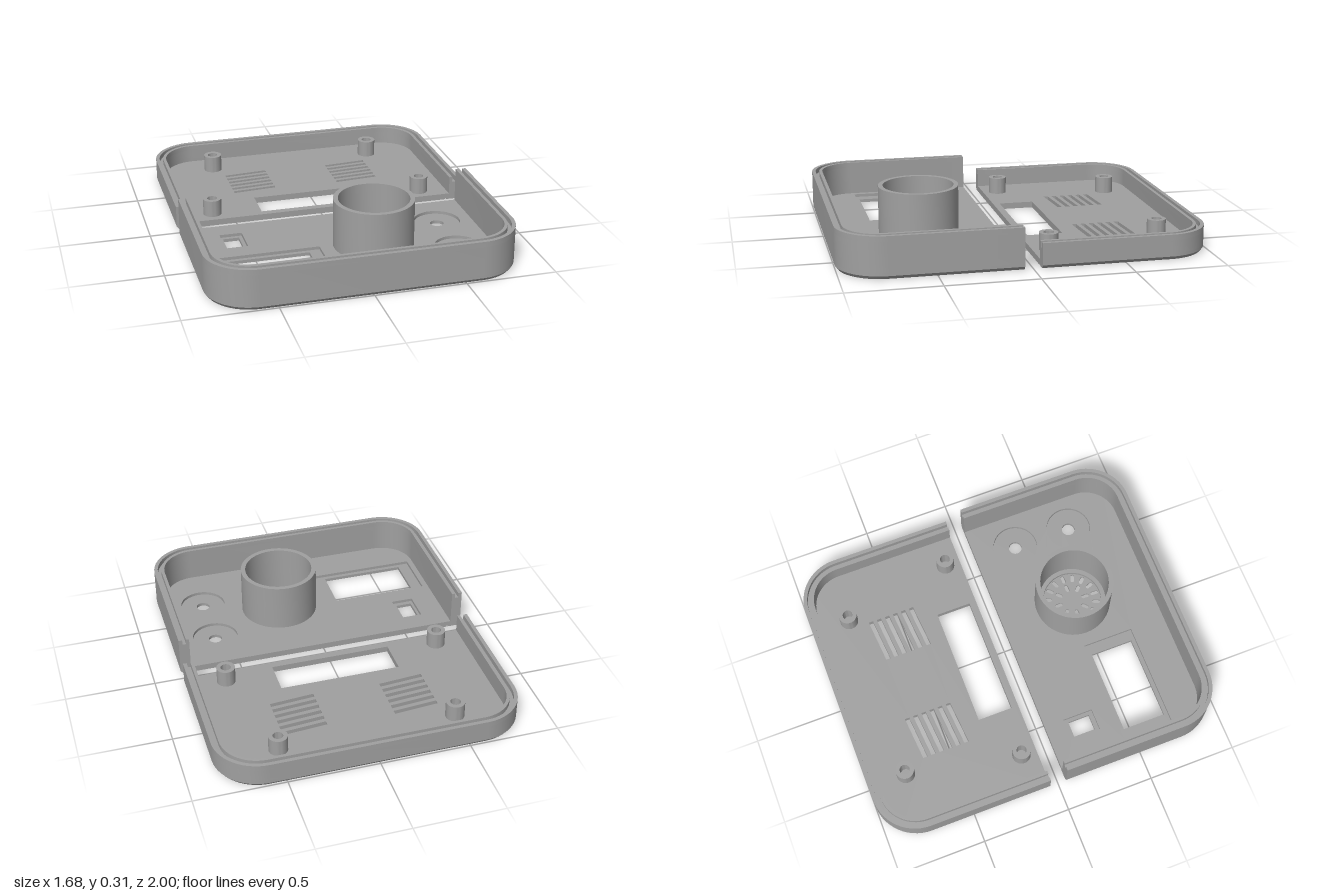
import * as THREE from 'three';
import { toCreasedNormals } from 'three/addons/utils/BufferGeometryUtils.js';

const W = 0.842, R = 0.25, CUT = 0.047;   // half width, corner radius, edge at the gap
const FLOOR = 0.035, SKIN = 0.006, MID = 0.018;

// Points are [x, d], d being the distance from the centre line between the halves.
function rim(inset) {
  const pts = [[-W + inset, CUT]], r = R - inset, n = 14;
  for (const side of [-1, 1]) {
    for (let i = 0; i <= n; i++) {
      const a = (i / n) * Math.PI / 2, t = side < 0 ? a : Math.PI / 2 - a;
      pts.push([side * (W - R + r * Math.cos(t)), 1 - R + r * Math.sin(t)]);
    }
  }
  pts.push([W - inset, CUT]);
  return pts;
}
const band = (a, b) => rim(a).concat(rim(b).reverse());
const rect = (x0, x1, d0, d1) => [[x0, d0], [x1, d0], [x1, d1], [x0, d1]];

function circle(x, d, r, n = 40) {
  return Array.from({ length: n }, (_, i) => {
    const a = (i / n) * Math.PI * 2;
    return [x + r * Math.cos(a), d + r * Math.sin(a)];
  });
}

// Round-ended slot along a spoke
function spoke(cx, cd, angle, r0, r1, half) {
  const pts = [], c = Math.cos(angle), s = Math.sin(angle);
  for (const [r, start] of [[r1 - half, -Math.PI / 2], [r0 + half, Math.PI / 2]]) {
    for (let i = 0; i <= 6; i++) {
      const a = start + (i / 6) * Math.PI;
      const u = r + half * Math.cos(a), v = half * Math.sin(a);
      pts.push([cx + u * c - v * s, cd + u * s + v * c]);
    }
  }
  return pts;
}

// L-shaped corner mark
function bracket(x, d, sx, sd, len = 0.06, t = 0.01) {
  return [[0, 0], [len, 0], [len, t], [t, t], [t, len], [0, len]]
    .map(([a, b]) => [x + sx * a, d + sd * b]);
}

// Flat layer from y0 to y1; its outer rim tapers near the ground
function layer(side, outline, holes, y0, y1) {
  const flat = pts => pts.map(([x, d]) => new THREE.Vector2(x, -side * d));
  const shape = new THREE.Shape(flat(outline));
  shape.holes = holes.map(h => new THREE.Path(flat(h)));
  const geo = new THREE.ExtrudeGeometry(shape, { depth: y1 - y0, bevelEnabled: false });
  geo.rotateX(-Math.PI / 2);
  geo.translate(0, y0, 0);
  const p = geo.attributes.position;
  for (let i = 0; i < p.count; i++) {
    const x = p.getX(i), y = p.getY(i), z = p.getZ(i);
    const qx = Math.abs(x) - (W - R), qd = side * z - (1 - R);
    const mx = Math.max(qx, 0), md = Math.max(qd, 0), len = Math.hypot(mx, md);
    const push = Math.max(0, MID - y) * 0.75;
    if (push > 0 && len > R - 0.001) {
      p.setX(i, x - Math.sign(x) * push * mx / len);
      p.setZ(i, z - side * push * md / len);
    }
  }
  return toCreasedNormals(geo, 0.5);
}

// Upright tube from a closed turned profile
function tube(r0, r1, y0, y1) {
  const profile = [[r0, y0], [r1, y0], [r1, y1], [r0, y1], [r0, y0]];
  const geo = new THREE.LatheGeometry(profile.map(([r, y]) => new THREE.Vector2(r, y)), 48);
  return toCreasedNormals(geo, 0.5);
}

export function createModel() {
  const model = new THREE.Group();
  const grey = new THREE.MeshStandardMaterial({ color: 0xa0a0a0 });
  grey.name = 'grey plastic';

  const add = (parent, name, geo, x = 0, z = 0) => {
    const mesh = new THREE.Mesh(geo, grey);
    mesh.name = name;
    mesh.position.set(x, 0, z);
    parent.add(mesh);
  };

  // Half of the case: engraved skin, floor, recessed floor, grooved wall
  function shell(name, side, height, skinHoles, midHoles, topHoles) {
    const half = new THREE.Group();
    half.name = name;
    model.add(half);
    const put = (part, outline, holes, y0, y1) =>
      add(half, part, layer(side, outline, holes, y0, y1));
    put('undersideBorder', band(0, 0.075), [], 0, SKIN);
    put('undersidePanel', rim(0.083), skinHoles, 0, SKIN);
    put('lowerFloor', rim(0), midHoles, SKIN, MID);
    put('upperFloor', rim(0), topHoles, MID, FLOOR);
    put('wall', band(0, 0.06), [], FLOOR, height - 0.03);
    put('outerLip', band(0, 0.021), [], height - 0.03, height);
    put('innerLip', band(0.042, 0.06), [], height - 0.03, height);
    return half;
  }

  // Front half: display window, switch, two buttons, speaker grille
  const sx = 0.15, sz = 0.485;
  const buttons = [[0.585, 0.295], [0.585, 0.635]];
  const openings = [
    rect(-0.685, -0.205, 0.465, 0.712),
    rect(-0.625, -0.535, 0.185, 0.31),
    ...buttons.map(([x, d]) => circle(x, d, 0.038)),
  ];
  const grille = [];
  for (let i = 0; i < 16; i++) {
    const a = (i / 16) * Math.PI * 2;
    grille.push(spoke(sx, sz, a, 0.117, 0.165, 0.011));
    if (i % 2 === 0) grille.push(spoke(sx, sz, a, 0.06, 0.105, 0.011));
  }
  const recesses = [
    rect(-0.75, -0.143, 0.443, 0.735),
    rect(-0.64, -0.515, 0.163, 0.335),
    ...buttons.map(([x, d]) => circle(x, d, 0.13)),
    circle(sx, sz, 0.17),
  ];
  const frontMarks = [
    bracket(-0.665, 0.145, 1, 1), bracket(-0.49, 0.35, -1, -1),
  ];
  const front = shell('frontHalf', 1, 0.228,
    [...openings, circle(sx, sz, 0.175), ...frontMarks],
    [...openings, ...grille], recesses);
  add(front, 'speakerCup', tube(0.195, 0.221, FLOOR - 0.005, 0.307), sx, sz);

  // Back half: connector opening, slanted vents, screw posts
  const cuts = [rect(-0.343, 0.343, 0.087, 0.287)];
  const backMarks = [];
  for (const x of [-0.44, 0.188]) {
    for (let i = 0; i < 6; i++) {
      const d = 0.397 + i * 0.0495, h = 0.013;
      cuts.push([[x, d - h], [x + 0.252, d + 0.02 - h], [x + 0.252, d + 0.02 + h], [x, d + h]]);
    }
    backMarks.push(bracket(x - 0.035, 0.72, 1, -1), bracket(x + 0.287, 0.345, -1, 1));
  }
  const back = shell('backHalf', -1, 0.138, [...cuts, ...backMarks], cuts, cuts);
  for (const s of [-1, 1]) {
    for (const [x, z] of [[0.492, -0.78], [0.62, -0.135]]) {
      add(back, 'screwPost', tube(0.028, 0.052, FLOOR - 0.005, 0.13), s * x, z);
    }
  }
  return model;
}
